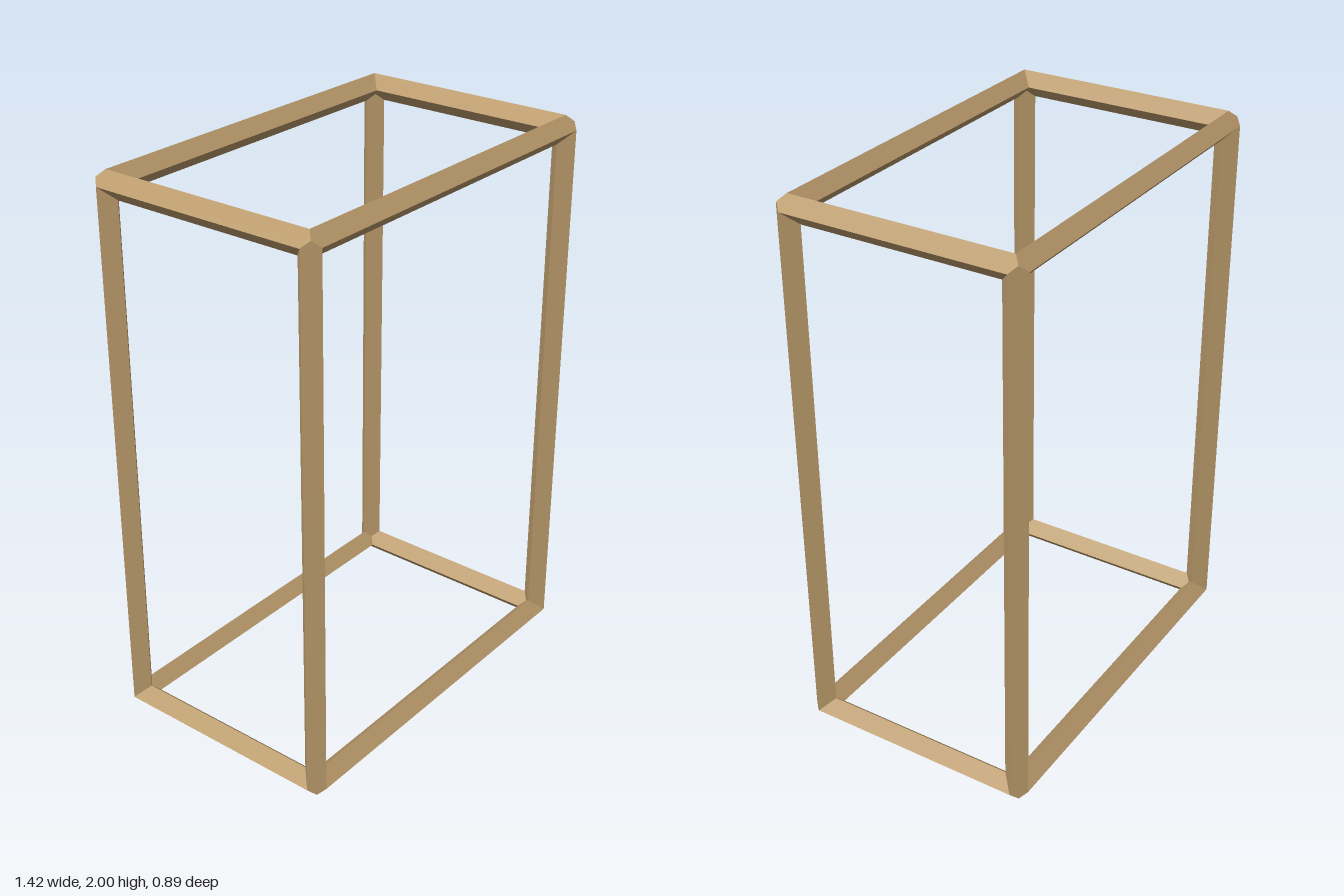
import * as THREE from 'three';

const A = 0.045;                        // half diagonal of the diamond section
const HALF = [0.665, 0.955, 0.4];       // corner-to-corner half lengths on x, y, z

// Section of a beam: [first outward side, second outward side, extra length],
// the extra length shaping the mitre at both ends.
const SECTION = [
  [1, 0, 0], [0.5, 0.5, 0.5], [0, 1, 0],
  [-1, 0, -1], [-0.5, -0.5, -0.5], [0, -1, -1],
];

// Diamond beam along one axis, at the edge given by the signs on the other two
function beamGeometry(axis, sj, sk) {
  const j = (axis + 1) % 3, k = (axis + 2) % 3;
  const corner = ([v, w, extra], end) => {
    const p = [0, 0, 0];
    p[axis] = end * (HALF[axis] + extra * A);
    p[j] = sj * (HALF[j] + v * A);
    p[k] = sk * (HALF[k] + w * A);
    return p;
  };
  const positions = [];
  SECTION.forEach((s, n) => {
    const t = SECTION[(n + 1) % SECTION.length];
    const a = corner(s, -1), b = corner(t, -1), c = corner(t, 1), d = corner(s, 1);
    const faces = sj * sk > 0 ? [a, b, c, a, c, d] : [a, c, b, a, d, c];
    positions.push(...faces.flat());
  });
  const geometry = new THREE.BufferGeometry();
  geometry.setAttribute('position', new THREE.Float32BufferAttribute(positions, 3));
  geometry.computeVertexNormals();
  return geometry;
}

export function createModel() {
  const model = new THREE.Group();
  model.name = 'boxFrame';
  const wood = new THREE.MeshStandardMaterial({ color: 0xb8996a, flatShading: true });

  // Four parallel beams along each axis
  ['crossRail', 'post', 'sideRail'].forEach((name, axis) => {
    const set = new THREE.Group();
    set.name = name + 's';
    for (const sj of [-1, 1]) {
      for (const sk of [-1, 1]) {
        const beam = new THREE.Mesh(beamGeometry(axis, sj, sk), wood);
        beam.name = name;
        set.add(beam);
      }
    }
    model.add(set);
  });

  model.position.y = HALF[1] + A;       // stand on the ground
  return model;
}
